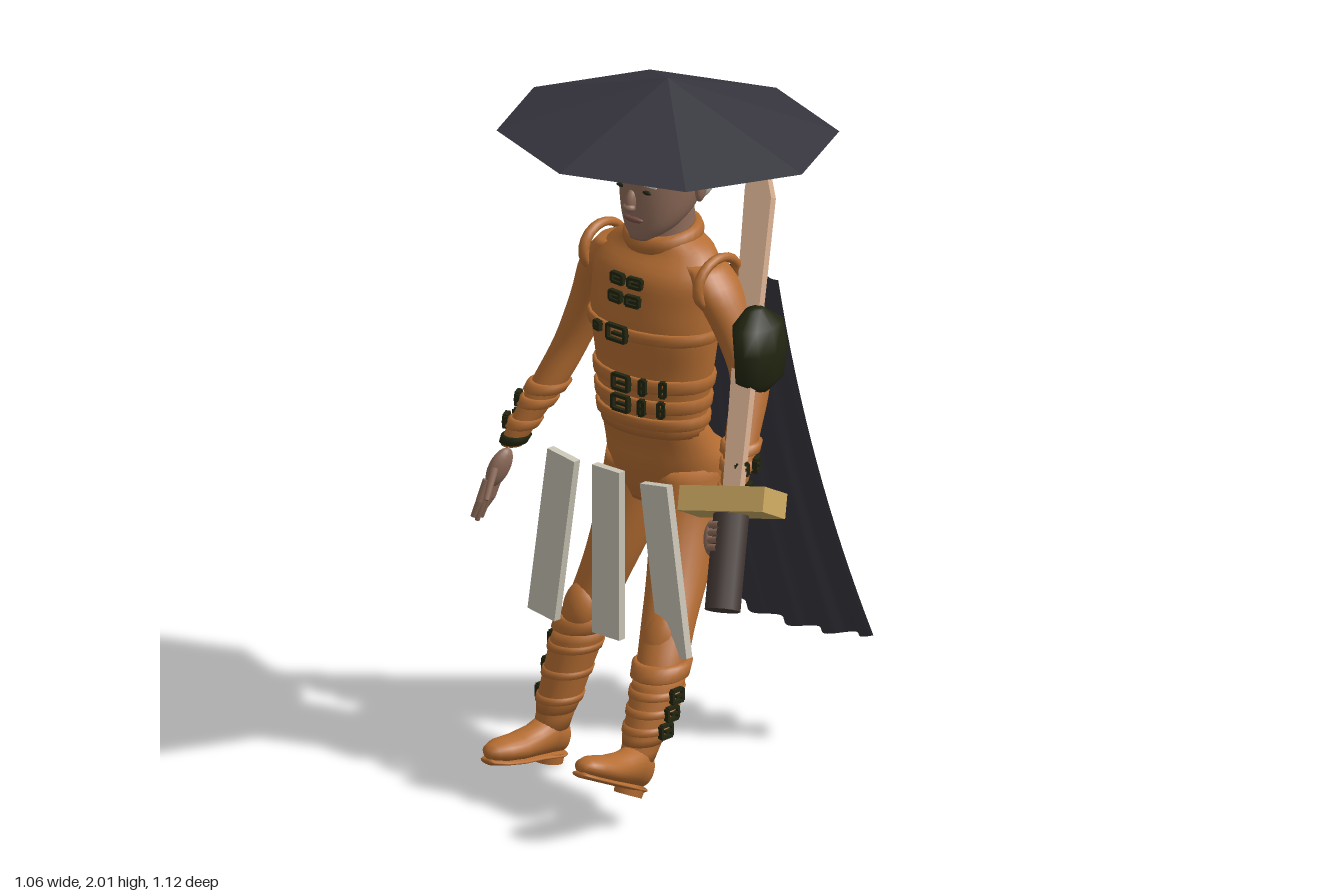
import * as THREE from 'three';

const mat = (name, color, side = THREE.FrontSide) => {
  const m = new THREE.MeshStandardMaterial({ color, side });
  m.name = name;
  return m;
};

export function createModel() {
  const leather = mat('orange leather', 0xb56d32), cloth = mat('dark cloth', 0x36353e, THREE.DoubleSide);
  const skin = mat('skin', 0x8f6c5a), hairMat = mat('white hair', 0xdad6ca), wood = mat('pale wood', 0xd3ac8d);
  const brass = mat('brass', 0xc9a660), grip = mat('brown grip', 0x443935), plate = mat('bone white', 0xcac5b6);
  const dark = mat('dark green', 0x222510), lipMat = mat('lip', 0x7a5246);
  const root = new THREE.Group();

  const add = (name, geo, material, pos = [0, 0, 0], rot = [0, 0, 0], parent = root) => {
    const m = new THREE.Mesh(geo, material);
    m.name = name;
    m.position.set(...pos);
    m.rotation.set(...rot);
    parent.add(m);
    return m;
  };

  // Closed skin over horizontal elliptical rings [x, y, z, rx, rz]
  const skinRings = (rings, n = 24) => {
    if (rings[0][1] > rings[rings.length - 1][1]) rings = [...rings].reverse();
    const p = [], idx = [], last = rings.length - 1;
    for (const [x, y, z, rx, rz] of rings)
      for (let j = 0; j < n; j++) {
        const a = j / n * Math.PI * 2;
        p.push(x + rx * Math.cos(a), y, z + rz * Math.sin(a));
      }
    const c = p.length / 3;
    p.push(...rings[0].slice(0, 3), ...rings[last].slice(0, 3));
    for (let j = 0; j < n; j++) {
      const k = (j + 1) % n;
      for (let i = 0; i < last; i++) {
        const a = i * n + j, b = i * n + k;
        idx.push(a, a + n, b, b, a + n, b + n);
      }
      idx.push(c, j, k, c + 1, last * n + k, last * n + j);
    }
    const g = new THREE.BufferGeometry();
    g.setAttribute('position', new THREE.Float32BufferAttribute(p, 3));
    g.setIndex(idx);
    g.computeVertexNormals();
    return g;
  };

  // Smooth body part: mesh plus a way to read the ring at a height
  const limb = (name, rings, material) => {
    const V = (a, b, c) => new THREE.Vector3(a, b, c);
    const pos = new THREE.CatmullRomCurve3(rings.map(r => V(r[0], r[1], r[2])), false, 'catmullrom');
    const rad = new THREE.CatmullRomCurve3(rings.map(r => V(r[3], r[4], 0)), false, 'catmullrom');
    const at = t => { const a = pos.getPoint(t), b = rad.getPoint(t); return [a.x, a.y, a.z, b.x, b.y]; };
    const N = (rings.length - 1) * 4;
    add(name, skinRings(Array.from({ length: N + 1 }, (_, i) => at(i / N))), material);
    const ringAt = y => {
      let best = at(0);
      for (let i = 1; i <= 300; i++) {
        const r = at(i / 300);
        if (Math.abs(r[1] - y) < Math.abs(best[1] - y)) best = r;
      }
      return best;
    };
    return { ringAt };
  };
  // Strap or cuff hugging a limb between two heights
  const band = (name, part, y0, y1, grow, material = leather) => {
    const steps = [[0, 0.3], [0.12, 1], [0.5, 1], [0.88, 1], [1, 0.3]];
    add(name, skinRings(steps.map(([t, g]) => {
      const [x, , z, rx, rz] = part.ringAt(y0 + (y1 - y0) * t);
      return [x, y0 + (y1 - y0) * t, z, rx + grow * g, rz + grow * g];
    })), material);
  };
  // Buckle frame with prong, set on a limb at a height and angle
  const buckle = (name, part, y, angle, w, h, out = 0.01) => {
    const [x, , z, rx, rz] = part.ringAt(y);
    const c = Math.cos(angle), s = Math.sin(angle);
    const g = new THREE.Group();
    g.name = name;
    g.position.set(x + (rx + out) * c, y, z + (rz + out) * s);
    g.rotation.y = Math.atan2(c / rx, s / rz);
    for (const k of [-1, 1]) {
      add('buckleBar', new THREE.BoxGeometry(w, 0.009, 0.014), dark, [0, k * h / 2, 0], [0, 0, 0], g);
      add('buckleSide', new THREE.BoxGeometry(0.009, h, 0.014), dark, [k * w / 2, 0, 0], [0, 0, 0], g);
    }
    add('buckleProng', new THREE.BoxGeometry(w * 0.8, 0.008, 0.016), dark, [w * 0.2, 0, 0], [0, 0, 0], g);
    root.add(g);
  };
  const rod = (name, a, b, r0, r1, material, n = 10) => {
    const A = new THREE.Vector3(...a), d = new THREE.Vector3(...b).sub(A);
    const m = add(name, new THREE.CylinderGeometry(r1, r0, d.length(), n), material);
    m.position.copy(A).addScaledVector(d, 0.5);
    m.quaternion.setFromUnitVectors(new THREE.Vector3(0, 1, 0), d.normalize());
  };
  const ball = (name, pos, size, material, rot) => add(name, new THREE.SphereGeometry(1, 16, 12), material, pos, rot).scale.set(...size);

  // Hat
  add('hat', new THREE.ConeGeometry(0.493, 0.155, 8).toNonIndexed(), cloth, [-0.032, 1.9225, -0.068]).scale.z = 0.893;
  const hat = root.children[0];
  hat.geometry.computeVertexNormals();

  // Head
  const X = -0.032;
  limb('head', [[X, 1.565, 0.04, 0.035, 0.025], [X, 1.6, 0, 0.075, 0.073], [X, 1.65, -0.03, 0.1, 0.108],
    [X, 1.72, -0.05, 0.112, 0.132], [X, 1.79, -0.055, 0.112, 0.132], [X, 1.85, -0.06, 0.09, 0.11]], skin);
  limb('hair', [[X, 1.64, -0.13, 0.06, 0.05], [X, 1.68, -0.115, 0.1, 0.088], [X, 1.74, -0.1, 0.117, 0.112],
    [X, 1.8, -0.085, 0.118, 0.128], [X, 1.85, -0.068, 0.105, 0.128]], hairMat);
  limb('neck', [[X, 1.48, -0.06, 0.11, 0.09], [X, 1.55, -0.06, 0.084, 0.085], [X, 1.65, -0.055, 0.08, 0.08]], skin);
  for (const s of [-1, 1]) {
    ball('ear', [X + s * 0.117, 1.71, -0.075], [0.014, 0.042, 0.025], skin, [-0.2, s * 0.3, 0]);
    add('eyebrow', new THREE.BoxGeometry(0.06, 0.012, 0.009), hairMat, [X + s * 0.05, 1.742, 0.073], [0, s * 0.28, -s * 0.12]);
    ball('eye', [X + s * 0.047, 1.715, 0.07], [0.017, 0.006, 0.006], dark);
  }
  ball('nose', [X, 1.685, 0.078], [0.016, 0.035, 0.022], skin, [-0.3, 0, 0]);
  ball('noseTip', [X, 1.666, 0.09], [0.02, 0.013, 0.017], skin);
  ball('lips', [X, 1.628, 0.071], [0.034, 0.01, 0.012], lipMat);

  // Jacket body and hips
  const torso = limb('jacket', [[X, 1.57, -0.05, 0.09, 0.09], [X, 1.53, -0.055, 0.165, 0.1], [X, 1.47, -0.03, 0.205, 0.122],
    [X, 1.39, -0.02, 0.205, 0.13], [X, 1.3, -0.015, 0.202, 0.135], [X, 1.2, -0.015, 0.188, 0.125],
    [X, 1.1, -0.01, 0.174, 0.12], [X, 1.01, -0.01, 0.166, 0.11]], leather);
  limb('hips', [[X, 1.03, -0.01, 0.165, 0.11], [X, 0.97, -0.04, 0.175, 0.125], [X, 0.915, -0.075, 0.185, 0.152],
    [X, 0.85, -0.08, 0.178, 0.135], [X, 0.79, -0.065, 0.14, 0.095]], leather);
  const collar = add('collar', new THREE.TorusGeometry(0.095, 0.018, 8, 28), leather, [X, 1.56, -0.05], [Math.PI / 2 + 0.15, 0, 0]);
  collar.scale.z = 1.6;
  for (const [a, b] of [[1.035, 1.07], [1.085, 1.125], [1.145, 1.185], [1.29, 1.325]]) band('bodyBelt', torso, a, b, 0.01);
  for (const y of [1.105, 1.165]) {
    buckle('beltBuckle', torso, y, 1.57, 0.055, 0.04, 0.014);
    for (const a of [1.2, 0.88]) buckle('beltLoop', torso, y, a, 0.014, 0.04, 0.014);
  }
  buckle('chestBuckle', torso, 1.31, 1.6, 0.065, 0.04, 0.014);
  buckle('chestLoop', torso, 1.31, 1.98, 0.025, 0.02, 0.014);
  for (const y of [1.405, 1.455])
    for (const a of [1.42, 1.72]) buckle('frontClasp', torso, y, a, 0.042, 0.025, 0.004);

  // Arms
  const rightArm = limb('rightArm', [[-0.19, 1.51, -0.045, 0.05, 0.065], [-0.235, 1.44, -0.04, 0.06, 0.078], [-0.283, 1.32, -0.04, 0.056, 0.066],
    [-0.335, 1.18, -0.02, 0.05, 0.058], [-0.375, 1.06, 0.03, 0.049, 0.052], [-0.42, 0.93, 0.1, 0.037, 0.04], [-0.435, 0.88, 0.12, 0.03, 0.032]], leather);
  const leftArm = limb('leftArm', [[0.125, 1.51, -0.045, 0.05, 0.065], [0.175, 1.44, -0.045, 0.06, 0.078], [0.232, 1.32, -0.06, 0.056, 0.066],
    [0.283, 1.2, -0.055, 0.05, 0.058], [0.312, 1.08, 0.005, 0.047, 0.05], [0.345, 0.97, 0.075, 0.038, 0.04], [0.355, 0.92, 0.1, 0.03, 0.032]], leather);
  for (const [arm, out] of [[rightArm, Math.PI], [leftArm, 0]]) {
    band('forearmCuff', arm, 1.06, 1.03, 0.011);
    for (const y of [0.93, 0.99]) {
      band('wristStrap', arm, y, y + 0.028, 0.008);
      for (const da of [-0.5, 0.6]) buckle('wristBuckle', arm, y + 0.014, out + da, 0.034, 0.032);
    }
  }
  band('rightGlove', rightArm, 0.885, 0.91, 0.007, dark);
  for (const s of [-1, 1]) {
    const e = add('shoulderFlap', new THREE.TorusGeometry(0.072, 0.013, 8, 20), leather, [X + s * 0.21, 1.465, -0.04], [0, Math.PI / 2, 0]);
    e.scale.set(1.15, 0.95, 1.2);
    e.rotation.z = s * 0.2;
  }
  // Pad over the left upper arm
  add('armPad', skinRings([[0.315, 1.18, -0.055, 0.022, 0.025], [0.318, 1.22, -0.055, 0.052, 0.085], [0.318, 1.3, -0.06, 0.055, 0.095],
    [0.305, 1.37, -0.06, 0.055, 0.088], [0.29, 1.41, -0.065, 0.022, 0.03]], 10), dark);

  // Right hand
  ball('rightPalm', [-0.455, 0.815, 0.15], [0.024, 0.06, 0.036], skin, [-0.4, 0, -0.25]);
  for (let i = 0; i < 4; i++) {
    const z = 0.135 + i * 0.017, drop = [0.03, 0.005, 0, 0.015][i];
    rod('finger', [-0.468, 0.785, z], [-0.478, 0.725, z + 0.02], 0.011, 0.01, skin);
    rod('fingertip', [-0.478, 0.727, z + 0.019], [-0.492, 0.665 + drop, z + 0.03], 0.01, 0.007, skin);
  }
  rod('thumb', [-0.45, 0.82, 0.175], [-0.435, 0.745, 0.225], 0.012, 0.008, skin);

  // Sword, built along its own axis from the guard
  const sword = new THREE.Group();
  sword.name = 'sword';
  const up = new THREE.Vector3(-0.245, 0.855, -0.4).normalize();
  const across = new THREE.Vector3(0.19, 0.031, -0.05);
  across.addScaledVector(up, -across.dot(up)).normalize();
  sword.quaternion.setFromRotationMatrix(new THREE.Matrix4().makeBasis(across, up, across.clone().cross(up)));
  sword.position.set(0.385, 0.925, 0.13);
  root.add(sword);
  const blade = new THREE.Shape([[-0.026, 0], [0.026, 0], [0.042, 0.84], [0.02, 0.91], [-0.035, 0.975], [-0.042, 0.86]].map(p => new THREE.Vector2(...p)));
  add('blade', new THREE.ExtrudeGeometry(blade, { depth: 0.028, bevelEnabled: false }), wood, [0, 0, -0.014], [0, 0, 0], sword);
  add('guard', new THREE.BoxGeometry(0.265, 0.07, 0.13), brass, [0, 0, 0], [0, 0, 0], sword);
  add('handle', new THREE.CylinderGeometry(0.049, 0.049, 0.27, 12), grip, [0, -0.165, 0], [0, 0, 0], sword);
  // Left hand holding the handle
  add('leftPalm', new THREE.SphereGeometry(1, 14, 10), skin, [-0.05, -0.1, 0], [0, 0, 0], sword).scale.set(0.022, 0.052, 0.038);
  for (let i = 0; i < 4; i++)
    add('grippingFinger', new THREE.TorusGeometry(0.052, 0.01, 6, 12, 1.7), skin, [0, -0.07 - i * 0.021, 0], [Math.PI / 2, 0, 1.7], sword);

  // Legs and boots
  const leftLeg = limb('leftLeg', [[0.055, 0.91, -0.075, 0.095, 0.12], [0.07, 0.78, -0.04, 0.092, 0.118], [0.11, 0.63, 0.045, 0.08, 0.095],
    [0.15, 0.51, 0.13, 0.071, 0.08], [0.178, 0.41, 0.19, 0.066, 0.074], [0.19, 0.29, 0.245, 0.058, 0.066], [0.19, 0.17, 0.305, 0.046, 0.055]], leather);
  const rightLeg = limb('rightLeg', [[-0.12, 0.91, -0.075, 0.095, 0.12], [-0.14, 0.78, -0.06, 0.09, 0.115], [-0.165, 0.63, -0.01, 0.077, 0.09],
    [-0.195, 0.51, 0.03, 0.068, 0.078], [-0.225, 0.4, 0.065, 0.067, 0.075], [-0.255, 0.25, 0.1, 0.056, 0.064], [-0.277, 0.1, 0.135, 0.046, 0.055]], leather);
  for (const [leg, out, low] of [[leftLeg, 0, 0.24], [rightLeg, Math.PI, 0.17]]) {
    band('bootTop', leg, 0.385, 0.43, 0.013);
    band('bootShaft', leg, low - 0.02, 0.39, 0.006);
    for (let i = 0; i < 3; i++) {
      const y = low + 0.02 + i * (0.35 - low) / 2.4;
      band('bootStrap', leg, y - 0.012, y + 0.012, 0.011);
      buckle('bootBuckle', leg, y, out, 0.04, 0.034, 0.012);
      ball('strapEnd', [leg.ringAt(y)[0], y, leg.ringAt(y)[2] - leg.ringAt(y)[4] - 0.015], [0.01, 0.01, 0.02], dark);
    }
  }
  ball('leftKneePad', [0.16, 0.49, 0.18], [0.05, 0.085, 0.04], leather, [-0.5, 0, 0]);
  ball('rightKneePad', [-0.205, 0.46, 0.1], [0.05, 0.07, 0.04], leather, [-0.3, 0, 0]);

  // Feet, lofted heel to toe: [length, height, half width, half height]
  const foot = (name, pos, pitch, yaw) => {
    const g = new THREE.Group();
    g.name = name;
    g.position.set(...pos);
    g.rotation.set(-pitch, yaw, 0, 'YXZ');
    const upper = [[-0.06, -0.045, 0.025, 0.03], [-0.045, -0.035, 0.042, 0.05], [0, -0.025, 0.047, 0.062], [0.06, -0.045, 0.047, 0.045],
      [0.12, -0.056, 0.053, 0.036], [0.18, -0.06, 0.05, 0.031], [0.215, -0.064, 0.034, 0.023], [0.228, -0.068, 0.015, 0.012]];
    add('bootFoot', skinRings(upper.map(([l, h, w, t]) => [0, l, -h, w, t])).rotateX(Math.PI / 2), leather, [0, 0, 0], [0, 0, 0], g);
    const sole = [[-0.055, 0.03], [-0.03, 0.045], [0.05, 0.045], [0.13, 0.055], [0.19, 0.048], [0.225, 0.028]];
    add('sole', skinRings(sole.map(([l, w]) => [0, l, 0.088, w, 0.009])).rotateX(Math.PI / 2), leather, [0, 0, 0], [0, 0, 0], g);
    add('heel', new THREE.CylinderGeometry(0.043, 0.04, 0.03, 16), leather, [0, -0.097, -0.012], [0, 0, 0], g);
    root.add(g);
  };
  foot('leftFoot', [0.195, 0.19, 0.312], 0.43, 0.06);
  foot('rightFoot', [-0.278, 0.113, 0.14], 0.16, -0.06);

  // Hanging plates at the waist
  for (const [x, tilt] of [[-0.236, -0.15], [-0.035, 0], [0.177, 0.15]])
    add('hangingPlate', new THREE.BoxGeometry(0.1, 0.49, 0.024), plate, [x, 0.683, 0.17], [0, 0, tilt]);

  // Rippled cape
  const cape = new THREE.PlaneGeometry(1, 1, 60, 16), p = cape.attributes.position;
  for (let i = 0; i < p.count; i++) {
    const u = p.getX(i), v = 0.5 - p.getY(i);
    const ripple = Math.cos(2 * Math.PI * 4.9 * (u + 0.05));
    p.setXYZ(i, X + 2 * u * (0.225 + 0.11 * v), 1.41 - 1.13 * v + 0.18 * u * u * v,
      -0.27 - 0.12 * v - 0.15 * v * v - (0.007 + 0.015 * v) * ripple);
  }
  cape.computeVertexNormals();
  add('cape', cape, cloth);

  return root;
}
